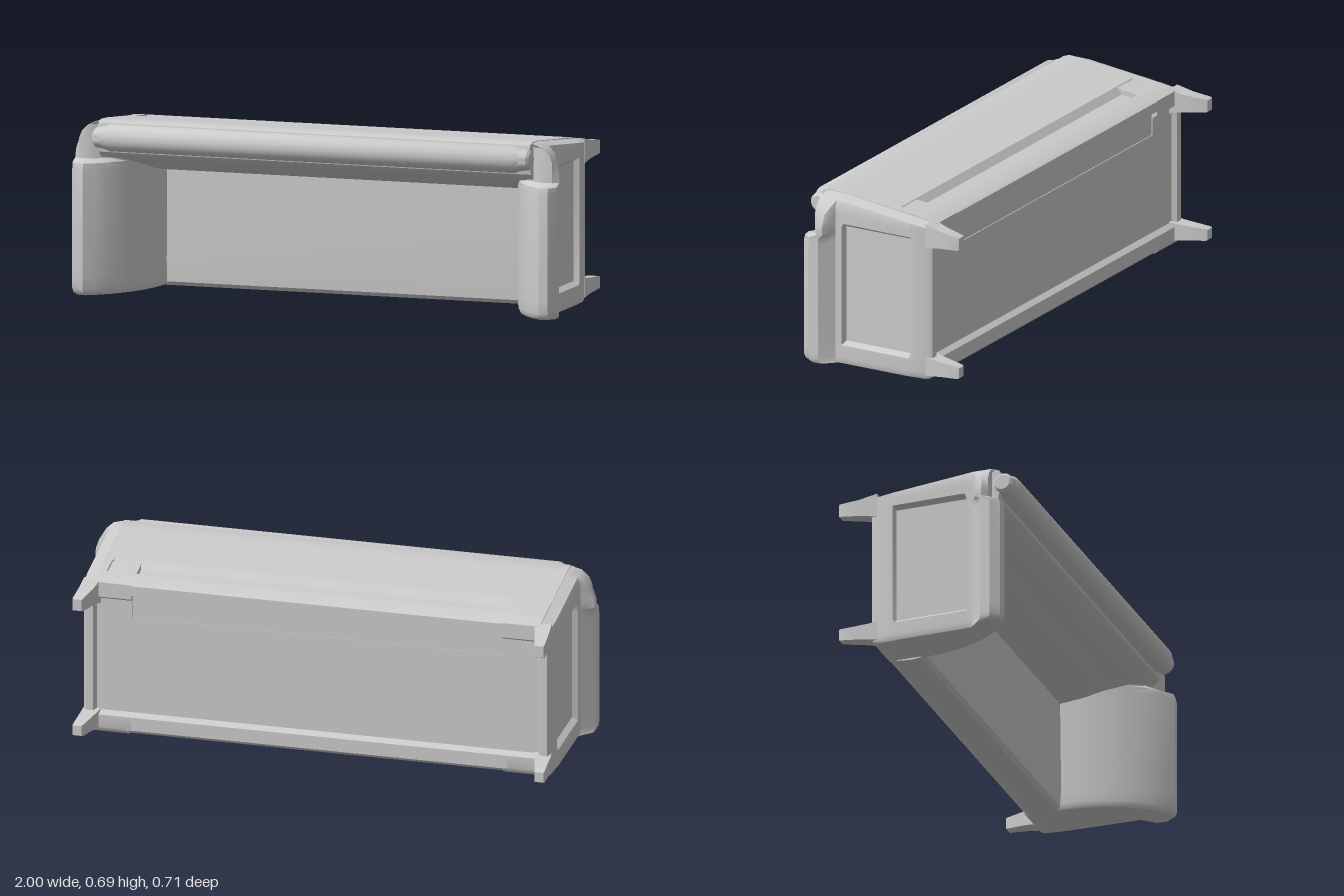
import * as THREE from 'three';
import { toCreasedNormals } from 'three/addons/utils/BufferGeometryUtils.js';

const material = new THREE.MeshStandardMaterial({ color: 0xcccccc });

// Skin a list of equal-length cross-sections (arrays of Vector3); flat is the 2D outline used for the caps.
function loft(sections, flats) {
  const n = sections[0].length, last = sections.length - 1;
  const tris = [];
  for (let s = 0; s < last; s++) {
    for (let i = 0; i < n; i++) {
      const j = (i + 1) % n;
      const a = sections[s][i], b = sections[s][j], c = sections[s + 1][j], d = sections[s + 1][i];
      tris.push([a, b, c], [a, c, d]);
    }
  }
  for (const s of [0, last]) {
    const clockwise = THREE.ShapeUtils.isClockWise(flats[s]);
    for (const [a, b, c] of THREE.ShapeUtils.triangulateShape(flats[s], [])) {
      const t = [sections[s][a], sections[s][b], sections[s][c]];
      // keep the cap turned the same way as the walls
      const turn = THREE.ShapeUtils.area([flats[s][a], flats[s][b], flats[s][c]]) < 0;
      const reversed = (turn === clockwise) === (s === 0);
      tris.push(reversed ? t.reverse() : t);
    }
  }
  let volume = 0;
  const cross = new THREE.Vector3();
  for (const [a, b, c] of tris) volume += a.dot(cross.crossVectors(b, c));
  const points = tris.flatMap(t => (volume < 0 ? [t[0], t[2], t[1]] : t));
  const geometry = new THREE.BufferGeometry().setFromPoints(points);
  return toCreasedNormals(geometry, 0.65);
}

// Loft a (y, z) outline along x
function loftAlongX(stations) {
  return loft(
    stations.map(([x, outline]) => outline.map(([y, z]) => new THREE.Vector3(x, y, z))),
    stations.map(([, outline]) => outline.map(([y, z]) => new THREE.Vector2(y, z))));
}

// Arm outline in (x, z): scrolled top, recessed side panel and recessed underside
function armOutline(recess) {
  const r = recess ? 0.022 : 0, u = recess ? 0.02 : 0;
  return [[0.74, -0.225 + u], [0.74, -0.07], [0.75, 0.02], [0.77, 0.1], [0.81, 0.19], [0.86, 0.26],
    [0.9, 0.3], [0.94, 0.33], [0.975, 0.325], [0.998, 0.29], [0.995, 0.25], [0.965, 0.22], [0.945, 0.2],
    [0.943, 0.175], [0.943 - r, 0.165], [0.938 - r, -0.125], [0.936, -0.135], [0.93, -0.21],
    [0.92, -0.225], [0.89, -0.225], [0.88, -0.225 + u]];
}

function armGeometry(side) {
  // y, recessed panel, inset of the edge, squash of the scroll, widest x
  const stations = [
    [0.01, false, 0.06, 1, 1], [0.018, false, 0.02, 1, 1], [0.035, false, 0, 1, 1], [0.085, false, 0, 1, 1],
    [0.1, true, 0, 1, 1], [0.5, true, 0, 1, 1], [0.525, true, 0, 0.95, 1], [0.54, true, 0, 0.6, 1],
    [0.57, true, 0, 0.6, 0.996], [0.585, false, 0, 0.6, 0.992], [0.62, false, 0, 0.6, 0.98],
    [0.65, false, 0, 0.6, 0.962], [0.675, false, 0, 0.6, 0.935], [0.69, false, 0, 0.55, 0.89]];
  const sections = [], flats = [];
  for (const [y, recess, inset, squash, maxX] of stations) {
    const outline = armOutline(recess).map(([x, z]) => {
      const zz = z > 0.2 ? 0.2 + (z - 0.2) * squash : z;
      return [Math.min(x + (0.87 - x) * inset, maxX), zz + (0.05 - zz) * inset];
    });
    const slope = THREE.MathUtils.smoothstep(y, 0.57, 0.69) * 0.11;
    sections.push(outline.map(([x, z]) =>
      new THREE.Vector3(side * x, y + Math.min(z - 0.2, 0) * slope, z)));
    flats.push(outline.map(([x, z]) => new THREE.Vector2(x, z)));
  }
  return loft(sections, flats);
}

// Back outline in (y, z), with or without the long groove on its outer face
function backOutline(groove) {
  const g = groove ? 0.025 : 0;
  return [[0.455, -0.2], [0.46, -0.07], [0.475, 0.02], [0.505, 0.11], [0.535, 0.2], [0.548, 0.26],
    [0.57, 0.285], [0.65, 0.3], [0.685, 0.29], [0.695, 0.265], [0.692, 0.2], [0.667, -0.04],
    [0.665 - g, -0.065], [0.659 - g, -0.13], [0.657, -0.142], [0.648, -0.21], [0.64, -0.225],
    [0.6, -0.225], [0.59, -0.2]];
}

export function createModel() {
  const model = new THREE.Group();
  const add = (name, geometry, parent = model) => {
    const mesh = new THREE.Mesh(geometry, material);
    mesh.name = name;
    parent.add(mesh);
    return mesh;
  };

  // Seat block with a soft front edge and a recessed underside
  const seat = [[0.03, -0.225], [0.015, -0.21], [0.006, -0.175], [0.002, -0.12], [0.006, -0.085],
    [0.022, -0.07], [0.1, -0.066], [0.47, -0.07], [0.5, -0.205], [0.1, -0.205], [0.085, -0.225]];
  add('seat', loftAlongX([[-0.76, seat], [0.76, seat]]));

  // Sloping backrest with a groove along its rear face
  add('backrest', loftAlongX([
    [-0.89, backOutline(false)], [-0.856, backOutline(false)], [-0.85, backOutline(true)],
    [0.85, backOutline(true)], [0.856, backOutline(false)], [0.89, backOutline(false)]]));

  // Padded roll along the head of the backrest
  const rollProfile = [[0, -0.9], [0.03, -0.9], [0.04, -0.89], [0.043, -0.865], [0.046, -0.85],
    [0.053, -0.835], [0.053, 0.835], [0.046, 0.85], [0.043, 0.865], [0.04, 0.89], [0.03, 0.9], [0, 0.9]]
    .map(([r, h]) => new THREE.Vector2(r, h));
  const roll = add('headRoll', toCreasedNormals(new THREE.LatheGeometry(rollProfile, 28), 0.65));
  roll.rotation.z = -Math.PI / 2;
  roll.position.set(0, 0.63, 0.305);

  for (const side of [1, -1]) {
    const label = side > 0 ? 'left' : 'right';
    add(label + 'Arm', armGeometry(side));

    // Tapered legs, flared where they meet the frame
    for (const [name, rings] of [
      ['FrontLeg', [[0.025, 0.105, -0.2], [0.03, 0.099, -0.23], [0.036, 0.096, -0.27], [0.043, 0.09, -0.35], [0.046, 0.087, -0.355]]],
      ['RearLeg', [[0.55, 0.648, -0.2], [0.556, 0.641, -0.23], [0.563, 0.632, -0.27], [0.57, 0.623, -0.35], [0.573, 0.62, -0.355]]],
    ]) {
      const inner = [0.862, 0.871, 0.88, 0.9, 0.903], outer = [0.932, 0.934, 0.936, 0.94, 0.937];
      const corners = rings.map(([y0, y1], i) =>
        [[inner[i], y0], [outer[i], y0], [outer[i], y1], [inner[i], y1]]);
      add(label + name, loft(
        corners.map((c, i) => c.map(([x, y]) => new THREE.Vector3(side * x, y, rings[i][2]))),
        corners.map(c => c.map(([x, y]) => new THREE.Vector2(x, y)))));
    }
  }
  return model;
}
